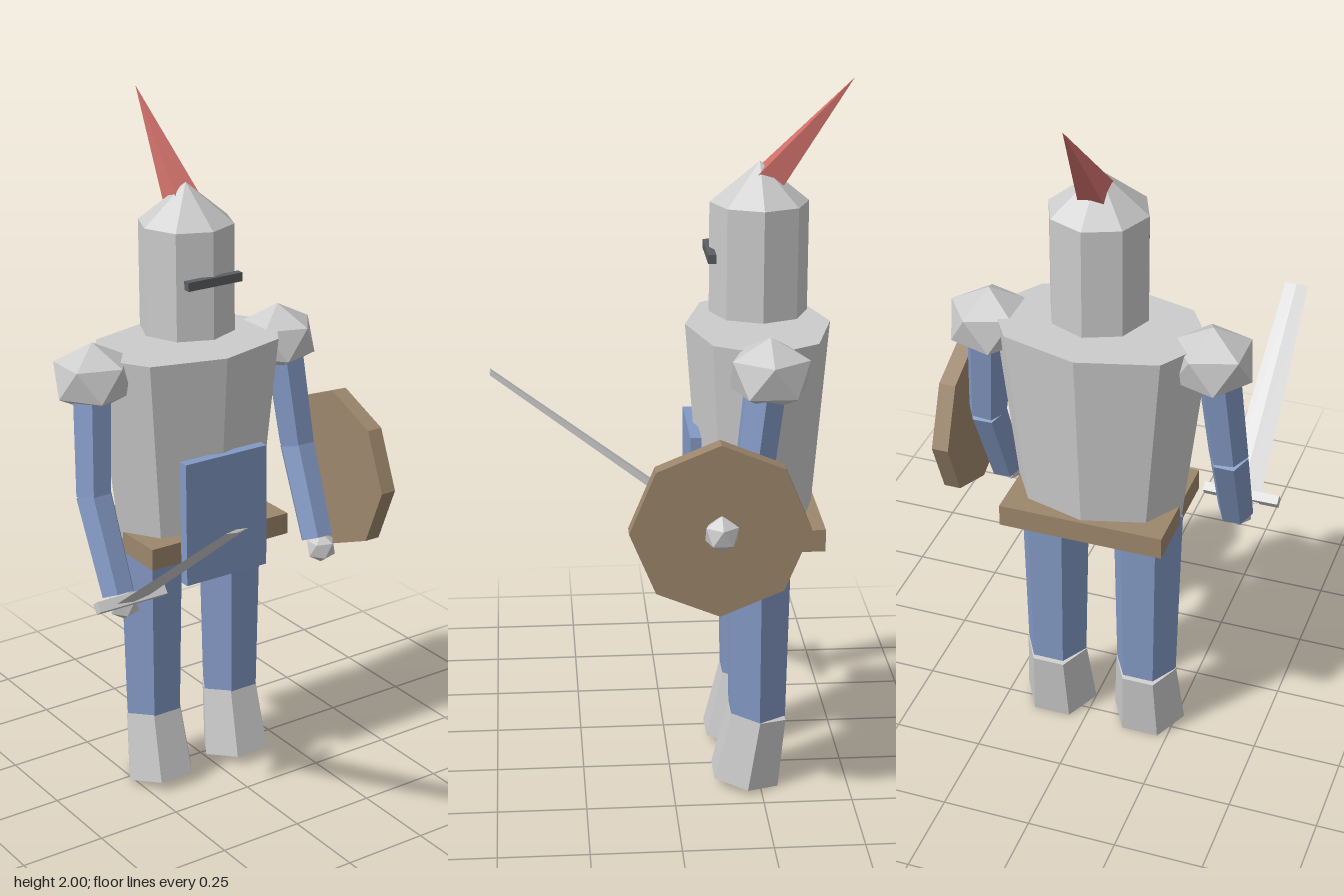
import * as THREE from 'three';

const CX = -0.035, CZ = -0.245; // centre line of the body
const V = (x, y, z) => new THREE.Vector3(x, y, z);
const paint = (color) => new THREE.MeshStandardMaterial({ color, flatShading: true });

export function createModel() {
  const knight = new THREE.Group();
  knight.name = 'knight';
  const steel = paint(0xcccccc), cloth = paint(0x8399c4), wood = paint(0x9c866c);
  const red = paint(0xd0706a), dark = paint(0x5c5e62);

  const add = (name, geometry, material, x, y, z) => {
    const mesh = new THREE.Mesh(geometry, material);
    mesh.name = name;
    mesh.position.set(x, y, z);
    knight.add(mesh);
    return mesh;
  };
  const box = (name, material, w, h, d, x, y, z) =>
    add(name, new THREE.BoxGeometry(w, h, d), material, x, y, z);

  // Tapered prism running from point a to point b
  const limb = (name, material, a, b, ra, rb, sides = 6, turn = Math.PI / 2) => {
    const geometry = new THREE.CylinderGeometry(rb, ra, a.distanceTo(b), sides, 1, false, turn);
    const mid = a.clone().add(b).multiplyScalar(0.5);
    const mesh = add(name, geometry, material, mid.x, mid.y, mid.z);
    mesh.quaternion.setFromUnitVectors(V(0, 1, 0), b.clone().sub(a).normalize());
    return mesh;
  };

  // Twenty-sided knob standing on a corner
  const knob = (name, rx, ry, x, y, z) => {
    const geometry = new THREE.IcosahedronGeometry(1, 0);
    geometry.rotateZ(-Math.atan(2 / (1 + Math.sqrt(5))));
    geometry.scale(rx, ry, rx);
    return add(name, geometry, steel, x, y, z);
  };

  // Breastplate: oval eight-sided, narrower at the waist
  const torso = new THREE.CylinderGeometry(1, 0.77, 0.58, 8);
  torso.scale(0.3, 1, 0.2);
  add('breastplate', torso, steel, CX, 1.04, CZ);
  box('belt', wood, 0.46, 0.063, 0.335, CX, 0.773, -0.247);
  box('tabard', cloth, 0.27, 0.365, 0.03, CX, 0.863, -0.065);

  // Helmet with pointed crown, visor slit and plume
  add('helmet', new THREE.CylinderGeometry(0.135, 0.135, 0.305, 8), steel, CX, 1.518, CZ);
  add('helmetCrown', new THREE.ConeGeometry(0.135, 0.11, 8), steel, CX, 1.725, CZ);
  box('visor', dark, 0.175, 0.025, 0.022, CX, 1.533, -0.111);
  limb('plume', red, V(CX, 1.705, -0.25), V(CX, 2, -0.495), 0.056, 0, 4, Math.PI / 4);

  // Arms and legs, mirrored about the body centre
  for (const [side, s] of [['left', 1], ['right', -1]]) {
    const x = (d) => CX + s * d;
    const elbow = V(x(0.345), 0.96, -0.195);
    knob(side + 'Shoulder', 0.12, 0.1, x(0.308), 1.28, CZ);
    limb(side + 'UpperArm', cloth, elbow, V(x(0.318), 1.28, -0.235), 0.055, 0.06);
    limb(side + 'Forearm', cloth, V(x(0.34), 0.7, -0.085), elbow, 0.05, 0.055);
    knob(side + 'Hand', 0.046, 0.046, x(0.337), 0.678, -0.06);
    limb(side + 'Leg', cloth, V(x(0.135), 0.22, -0.242), V(x(0.135), 0.76, -0.24), 0.088, 0.1);
    limb(side + 'Boot', steel, V(x(0.135), 0.018, -0.209), V(x(0.135), 0.22, -0.243), 0.106, 0.09);
  }

  // Round shield with a boss
  const shield = new THREE.CylinderGeometry(0.24, 0.24, 0.047, 8);
  shield.rotateZ(Math.PI / 2);
  add('shield', shield, wood, 0.393, 0.895, -0.105);
  knob('shieldBoss', 0.05, 0.05, 0.428, 0.895, -0.107);

  // Sword: flat diamond blade rising forward from the right hand
  const SX = -0.373;
  const blade = limb('swordBlade', steel, V(SX, 0.693, -0.032), V(SX, 1.097, 0.495), 0.053, 0.034, 4);
  blade.geometry.scale(1, 1, 0.13);
  const guard = box('swordGuard', steel, 0.215, 0.026, 0.03, SX, 0.707, -0.022);
  guard.quaternion.copy(blade.quaternion);

  return knight;
}
